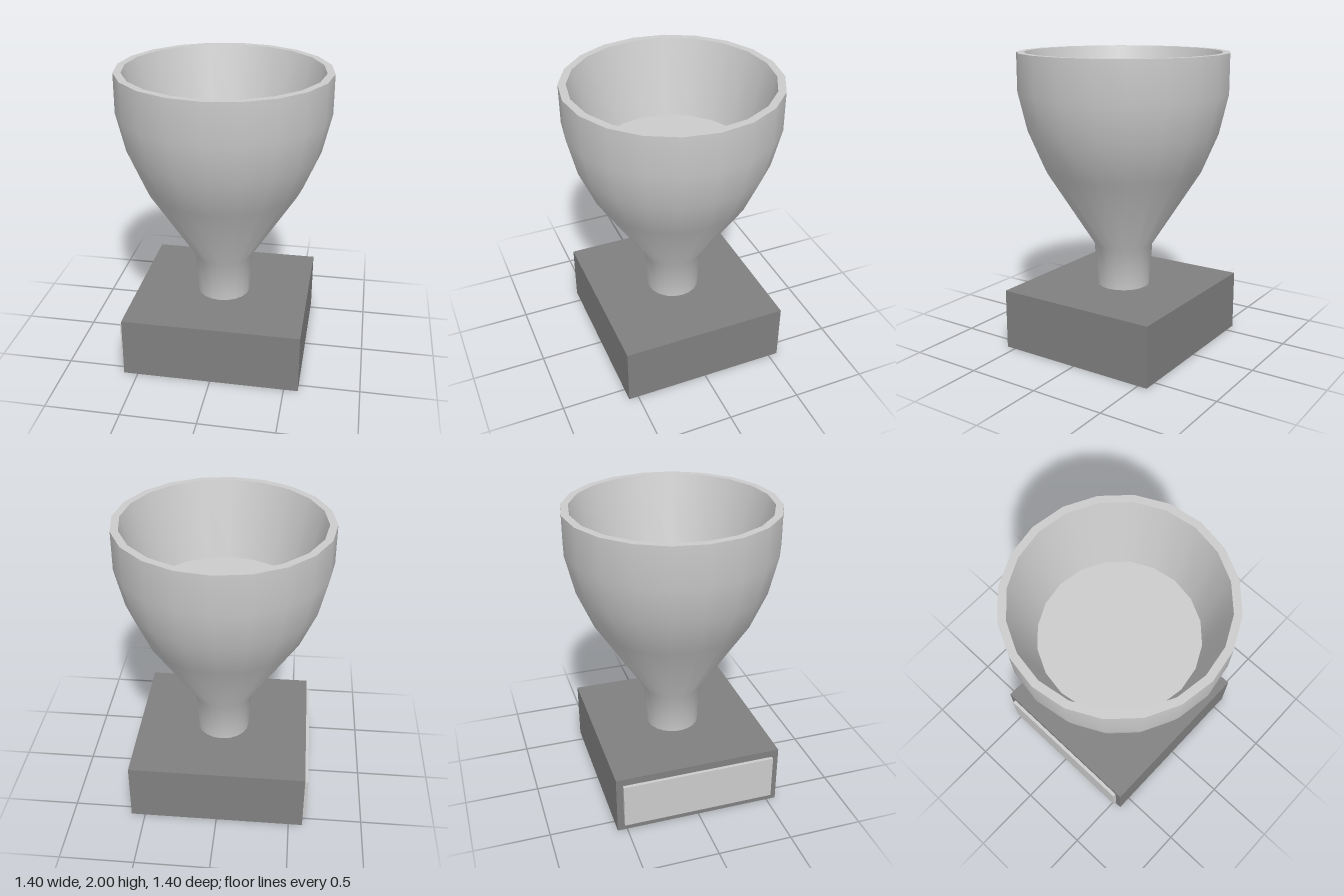
import * as THREE from 'three';

const SIDES = 20;

export function createModel() {
  const model = new THREE.Group();
  const grey = new THREE.MeshStandardMaterial({ color: 0xcccccc });
  const dark = new THREE.MeshStandardMaterial({ color: 0x808080 });

  const add = (name, geometry, material, parent = model) => {
    const mesh = new THREE.Mesh(geometry, material);
    mesh.name = name;
    parent.add(mesh);
    return mesh;
  };
  const lathe = (points) =>
    new THREE.LatheGeometry(points.map(([r, y]) => new THREE.Vector2(r, y)), SIDES);

  // Square plinth with a thin plate on one side
  add('plinth', new THREE.BoxGeometry(1.19, 0.41, 1.13), dark).position.set(0, 0.205, 0);
  add('plate', new THREE.BoxGeometry(0.03, 0.31, 1.04), grey).position.set(-0.603, 0.205, 0);

  // Cup: separate lathes keep the rim and floor edges sharp
  const cup = new THREE.Group();
  cup.name = 'cup';
  model.add(cup);
  add('stemAndBowl', lathe([
    [0.18, 0.41], [0.2, 0.7], [0.53, 1.22], [0.64, 1.48], [0.7, 1.74], [0.7, 2],
  ]), grey, cup);
  add('rim', lathe([[0.7, 2], [0.65, 2]]), grey, cup);
  add('innerWall', lathe([[0.65, 2], [0.52, 1.48]]), grey, cup);
  add('bowlFloor', lathe([[0.52, 1.48], [0, 1.48]]), grey, cup);

  return model;
}
